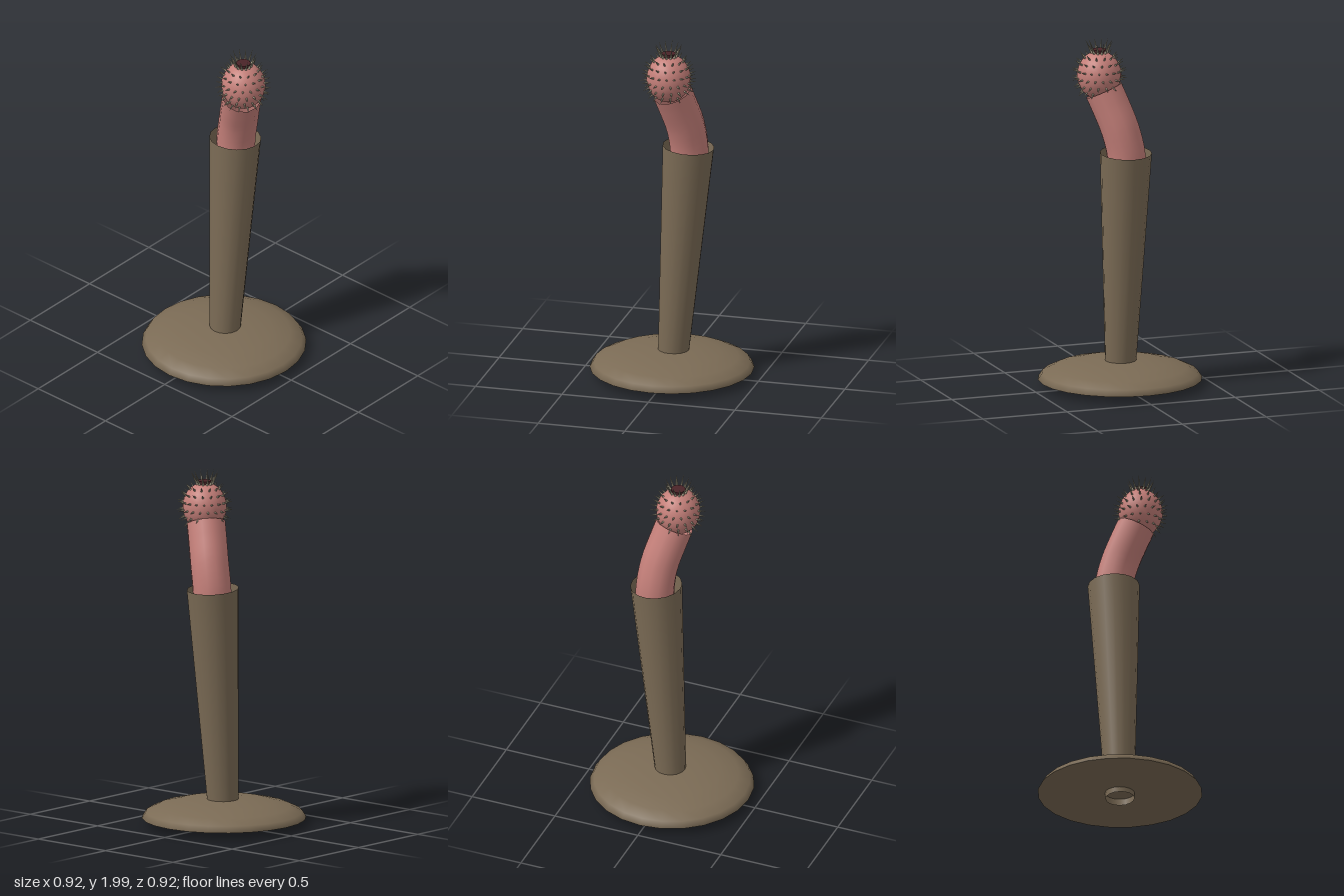
import * as THREE from 'three';

function material(name, color, side = THREE.FrontSide) {
  const m = new THREE.MeshStandardMaterial({ color, side });
  m.name = name;
  return m;
}

export function createModel() {
  const model = new THREE.Group();
  model.name = 'spinyTubeWorm';
  const brown = material('tubeBrown', 0x7b6b55, THREE.DoubleSide);
  const pink = material('fleshPink', 0xc47f79, THREE.DoubleSide);
  const dark = material('mouthDark', 0x4a2428);
  const bone = material('spineBone', 0xb0a890);
  const up = new THREE.Vector3(0, 1, 0);

  const add = (name, geometry, mat, parent = model) => {
    const mesh = new THREE.Mesh(geometry, mat);
    mesh.name = name;
    parent.add(mesh);
    return mesh;
  };

  // Shallow domed foot with a flat underside
  const dome = new THREE.SphereGeometry(0.46, 24, 5, 0, Math.PI * 2, 0, Math.PI / 2);
  dome.scale(1, 0.11 / 0.46, 1);
  add('footDome', dome, brown).position.y = 0.045;
  const under = new THREE.CircleGeometry(0.46, 24);
  under.rotateX(Math.PI / 2);
  add('footUnderside', under, brown).position.y = 0.045;

  // Thin, open, leaning tube that widens towards its mouth
  const low = new THREE.Vector3(0, 0.01, 0);
  const high = new THREE.Vector3(0.095, 1.36, 0);
  const axis = high.clone().sub(low);
  const tube = add('tube', new THREE.CylinderGeometry(0.145, 0.081, axis.length(), 16, 1, true), brown);
  tube.position.copy(low).add(high).multiplyScalar(0.5);
  tube.quaternion.setFromUnitVectors(up, axis.normalize());

  // Bent neck rising out of the tube
  const path = new THREE.CatmullRomCurve3([
    [0.1, 1.18, -0.005], [0.1, 1.36, 0.002], [0.085, 1.5, 0.033],
    [0.052, 1.63, 0.077], [0.03, 1.71, 0.107],
  ].map(p => new THREE.Vector3(...p)));
  add('neck', new THREE.TubeGeometry(path, 14, 0.11, 12), pink);

  // Head, slightly taller than wide
  const head = new THREE.Group();
  head.name = 'head';
  head.position.set(0.016, 1.798, 0.13);
  model.add(head);
  const RX = 0.124, RY = 0.137;
  const ball = new THREE.SphereGeometry(1, 20, 14);
  ball.scale(RX, RY, RX);
  add('headBall', ball, pink, head);
  add('mouth', new THREE.CylinderGeometry(0.04, 0.04, 0.03, 12), dark, head).position.y = 0.132;

  // Cone spine with its base at a point
  const spine = (name, base, dir, radius, length) => {
    const geometry = new THREE.ConeGeometry(radius, length, 6);
    geometry.translate(0, length / 2 - 0.005, 0);
    const mesh = add(name, geometry, bone, head);
    mesh.position.copy(base);
    mesh.quaternion.setFromUnitVectors(up, dir);
  };

  // Crown of long spines around the mouth
  for (let i = 0; i < 12; i++) {
    const a = i / 12 * Math.PI * 2, c = Math.cos(a), s = Math.sin(a);
    spine('crownSpine', new THREE.Vector3(c * 0.044, 0.131, s * 0.044),
      new THREE.Vector3(c * 0.5, 1, s * 0.5).normalize(), 0.0075, 0.081);
  }

  // Staggered rows of short spines, left out where the neck joins
  const neckDir = new THREE.Vector3(0.2, -0.91, -0.33).normalize();
  [[42, 12], [60, 15], [78, 18], [96, 18], [114, 16], [132, 13]].forEach(([deg, count], row) => {
    const t = THREE.MathUtils.degToRad(deg);
    for (let i = 0; i < count; i++) {
      const a = (i + row * 0.5) / count * Math.PI * 2;
      const d = new THREE.Vector3(Math.sin(t) * Math.cos(a), Math.cos(t), Math.sin(t) * Math.sin(a));
      if (d.dot(neckDir) > 0.7) continue;
      const base = new THREE.Vector3(d.x * RX, d.y * RY, d.z * RX);
      spine('headSpine', base, d, 0.0065, 0.042);
    }
  });

  return model;
}
